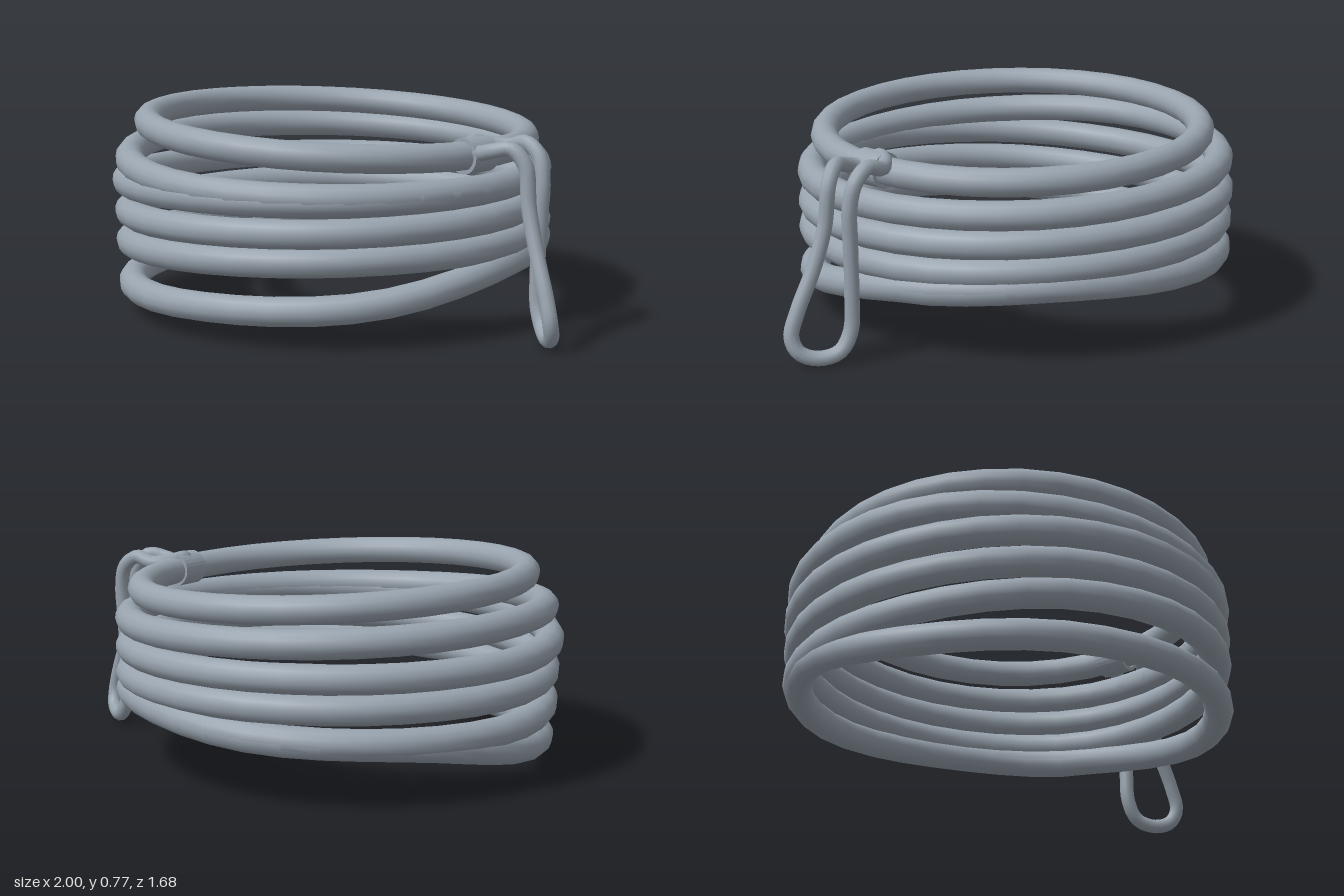
import * as THREE from 'three';

// Curve defined by a plain function of t in 0..1
class RuleCurve extends THREE.Curve {
  constructor(rule) {
    super();
    this.rule = rule;
  }
  getPoint(t, target = new THREE.Vector3()) {
    return target.set(...this.rule(t));
  }
}

// Height of the coil centreline at every eighth of a turn, one row per turn,
// in the order right, back right, back, back left, left, front left, front, front right
const COIL_HEIGHTS = [
  0.25, 0.285, 0.245, 0.215, 0.115, 0.105, 0.125, 0.155,
  0.25, 0.285, 0.25, 0.23, 0.225, 0.265, 0.30, 0.32,
  0.326, 0.35, 0.355, 0.355, 0.353, 0.38, 0.405, 0.42,
  0.43, 0.45, 0.46, 0.465, 0.47, 0.495, 0.52, 0.53,
  0.54, 0.555, 0.577, 0.595, 0.604, 0.58, 0.55, 0.54,
  0.54,
];
// How far each turn bulges to the left
const LEFT_RADII = [0.76, 0.775, 0.78, 0.795, 0.77];

export function createModel() {
  const model = new THREE.Group();
  const steel = new THREE.MeshStandardMaterial({ color: 0x98a3ae });
  steel.name = 'blue grey';

  const add = (name, geometry, parent = model) => {
    const mesh = new THREE.Mesh(geometry, steel);
    mesh.name = name;
    parent.add(mesh);
    return mesh;
  };

  // Main coil: each end sinks into the neighbouring turn
  const turns = (COIL_HEIGHTS.length - 1) / 8;
  const heights = new THREE.SplineCurve(COIL_HEIGHTS.map((y, i) => new THREE.Vector2(i, y)));
  const coil = new RuleCurve((t) => {
    const a = t * turns * Math.PI * 2;
    const c = Math.cos(a);
    const turn = Math.min(Math.floor(t * turns), turns - 1);
    const rx = c > 0 ? 0.795 : LEFT_RADII[turn];
    return [-0.15 + rx * c, heights.getPoint(t).y, -0.785 * Math.sin(a)];
  });
  coil.arcLengthDivisions = 1000;
  add('coil', new THREE.TubeGeometry(coil, turns * 36, 0.054, 14, false));

  // Smaller, slightly tilted ring on top
  const ring = new RuleCurve((t) => {
    const a = t * Math.PI * 2;
    const c = Math.cos(a), s = Math.sin(a);
    return [-0.125 + 0.725 * c, 0.69 - 0.033 * c + 0.01 * s, 0.72 * s];
  });
  add('topRing', new THREE.TubeGeometry(ring, 36, 0.052, 14, true));

  // Sleeve clamped round the top ring
  const band = new THREE.Shape().absarc(0, 0, 0.066, 0, Math.PI * 2);
  band.holes.push(new THREE.Path().absarc(0, 0, 0.052, 0, Math.PI * 2, true));
  const sleeveGeometry = new THREE.ExtrudeGeometry(band, {
    depth: 0.12, bevelEnabled: false, curveSegments: 14,
  });
  sleeveGeometry.translate(0, 0, -0.06);
  const sleeve = add('sleeve', sleeveGeometry);
  sleeve.position.set(0.588, 0.66, 0.13);
  sleeve.rotation.y = -0.18;

  // Thin cord loop hanging from the sleeve
  const cord = new THREE.CatmullRomCurve3([
    [0.575, 0.705, 0.12], [0.63, 0.675, 0.17], [0.70, 0.69, 0.185], [0.77, 0.70, 0.17],
    [0.82, 0.645, 0.16], [0.84, 0.5, 0.165], [0.885, 0.35, 0.185], [0.945, 0.2, 0.215],
    [0.97, 0.11, 0.225], [0.96, 0.055, 0.20], [0.915, 0.03, 0.15], [0.86, 0.05, 0.095],
    [0.825, 0.12, 0.072], [0.82, 0.25, 0.067], [0.827, 0.45, 0.064], [0.832, 0.58, 0.06],
    [0.81, 0.665, 0.05], [0.75, 0.708, 0.042], [0.68, 0.69, 0.035], [0.62, 0.695, 0.06],
  ].map((p) => new THREE.Vector3(...p)), true);
  add('cordLoop', new THREE.TubeGeometry(cord, 96, 0.028, 10, true));

  return model;
}
